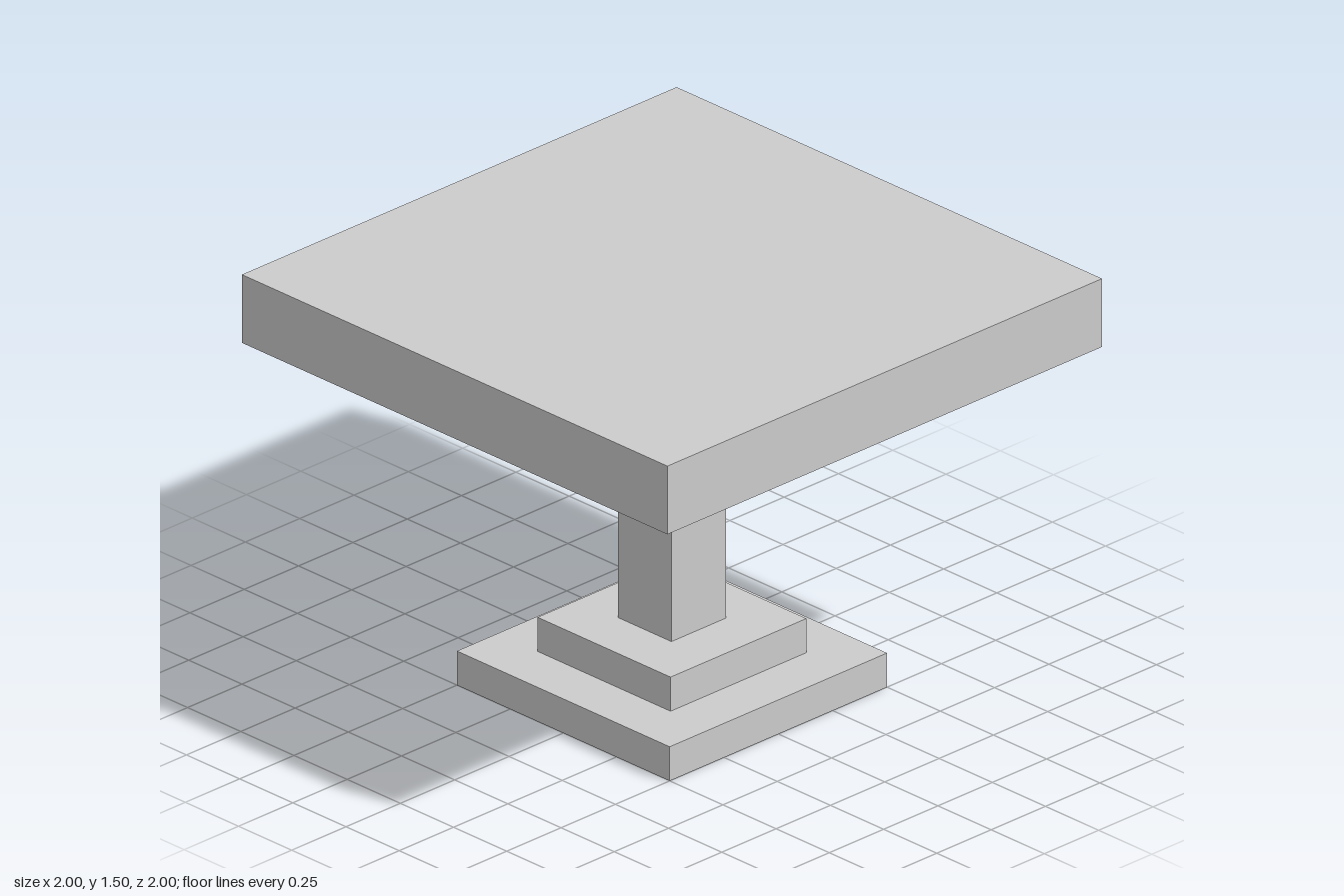
import * as THREE from 'three';

// Square slabs stacked from the floor up: name, width, bottom, top
const PARTS = [
  ['basePlate', 1, 0, 0.125],
  ['baseStep', 0.625, 0.125, 0.25],
  ['column', 0.25, 0.25, 1.25],
  ['tableTop', 2, 1.25, 1.5],
];

export function createModel() {
  const table = new THREE.Group();
  table.name = 'pedestalTable';
  const material = new THREE.MeshStandardMaterial({ color: 0xcccccc, flatShading: true });

  for (const [name, width, bottom, top] of PARTS) {
    const mesh = new THREE.Mesh(new THREE.BoxGeometry(width, top - bottom, width), material);
    mesh.name = name;
    mesh.position.y = (bottom + top) / 2;
    table.add(mesh);
  }
  return table;
}
